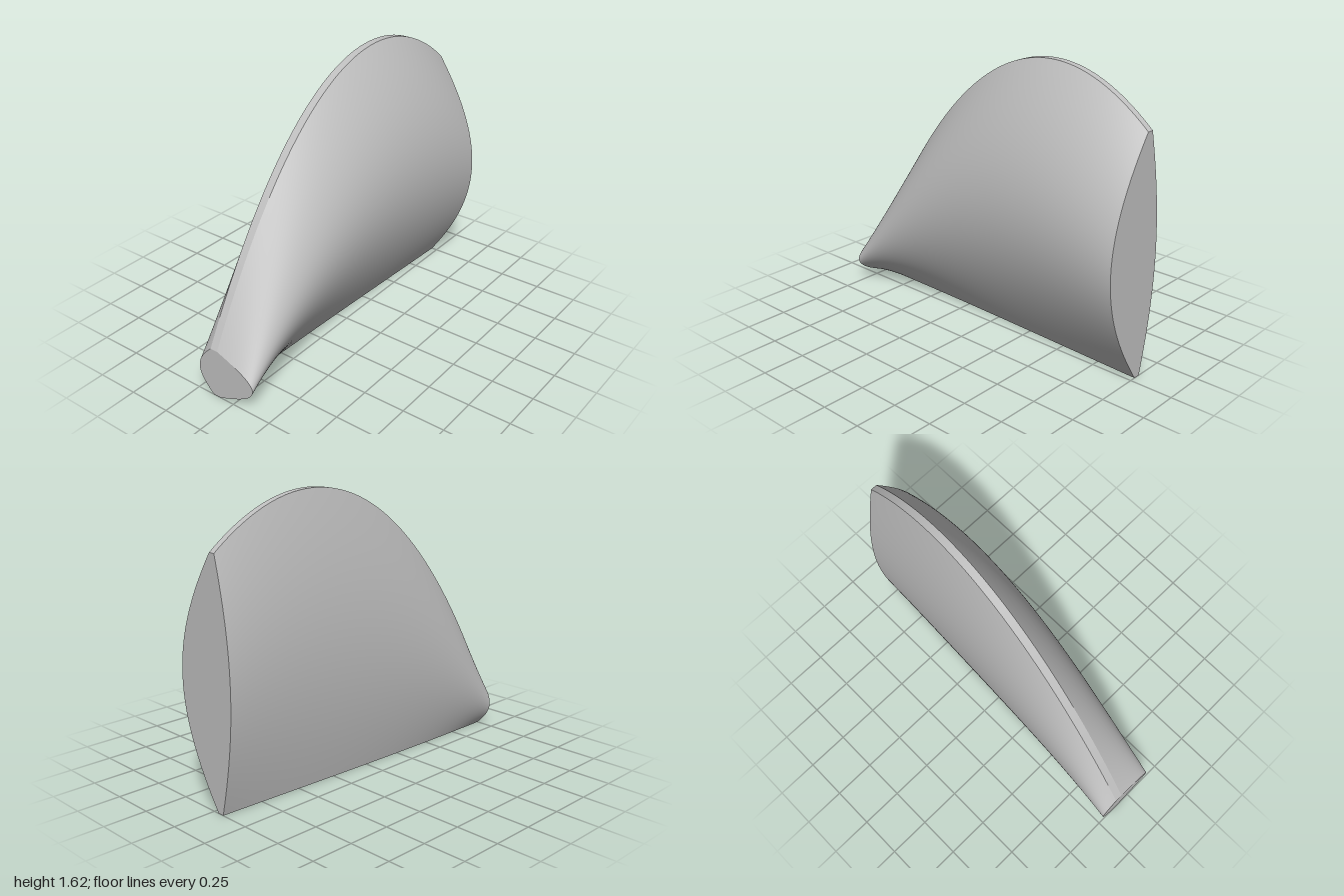
import * as THREE from 'three';

// Cubic Bezier through four control values, t in 0..1
const bez = (a, b, c, d) => (t) => {
  const s = 1 - t;
  return s * s * s * a + 3 * s * s * t * b + 3 * s * t * t * c + t * t * t * d;
};

// Depth of the blade along its length: bulges at mid height, thin edges at top and bottom
const frontBulge = bez(0.145, 0.15, 0.245, 0.229);
const backBulge = bez(-0.232, -0.24, -0.205, -0.167);
const frontEdge = bez(-0.095, -0.095, -0.06, -0.035);
const backEdge = bez(-0.14, -0.145, -0.105, -0.073);

const xAt = (t) => -1 + 2 * t;
const heightAt = (t) => 1.625 - 0.69 * (xAt(t) - 0.385) ** 2;
const swell = (v) => 0.5 * Math.sin(Math.PI * v) + 2 * v * (1 - v);

// Point on the blade: t along the length, v up the height, w from front (0) to back (1)
function point(t, v, w) {
  const front = THREE.MathUtils.lerp(frontEdge(t), frontBulge(t), swell(v));
  const back = THREE.MathUtils.lerp(backEdge(t), backBulge(t), swell(v));
  return [xAt(t), heightAt(t) * v, THREE.MathUtils.lerp(front, back, w)];
}

// Smooth grid surface whose outward side is du x dv
function surface(nu, nv, fn) {
  const pos = [], idx = [];
  for (let i = 0; i <= nu; i++)
    for (let j = 0; j <= nv; j++) pos.push(...fn(i / nu, j / nv));
  for (let i = 0; i < nu; i++)
    for (let j = 0; j < nv; j++) {
      const a = i * (nv + 1) + j, b = a + nv + 1;
      idx.push(a, b, b + 1, a, b + 1, a + 1);
    }
  const g = new THREE.BufferGeometry();
  g.setAttribute('position', new THREE.Float32BufferAttribute(pos, 3));
  g.setIndex(idx);
  g.computeVertexNormals();
  return g;
}

export function createModel() {
  const group = new THREE.Group();
  group.name = 'blade';
  const grey = new THREE.MeshStandardMaterial({ color: 0xc0c0c0 });
  grey.name = 'light grey';
  const add = (name, geometry) => {
    const mesh = new THREE.Mesh(geometry, grey);
    mesh.name = name;
    group.add(mesh);
  };

  // Curved faces
  add('frontFace', surface(80, 60, (u, v) => point(u, v, 0)));
  add('backFace', surface(80, 60, (u, v) => point(u, 1 - v, 1)));
  // Narrow edges
  add('topEdge', surface(80, 1, (u, v) => point(u, 1, v)));
  add('bottomEdge', surface(80, 1, (u, v) => point(u, 0, 1 - v)));
  // Flat ends
  add('leftEnd', surface(60, 1, (u, v) => point(1, u, 1 - v)));
  add('rightEnd', surface(60, 1, (u, v) => point(0, u, v)));
  return group;
}
